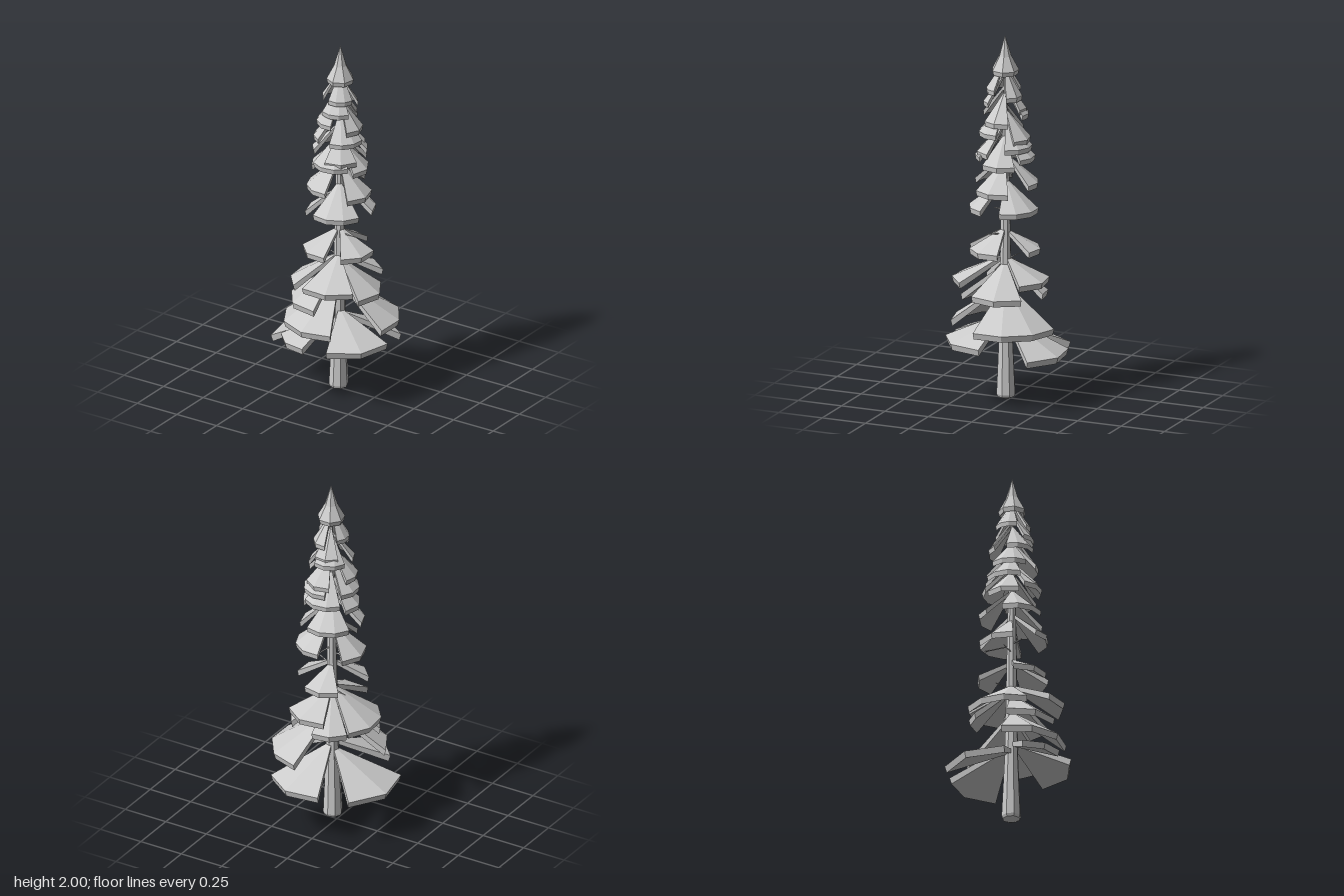
import * as THREE from 'three';

const material = new THREE.MeshStandardMaterial({ color: 0xcccccc, flatShading: true, side: THREE.DoubleSide });
const rad = THREE.MathUtils.degToRad;

// The trunk leans very slightly towards +x
const axisAt = (y) => new THREE.Vector3(0.032 + 0.006 * y, y, 0.012);

// Solid fan-shaped bough: apex on the trunk, faceted rim, thin at the top
function makeBough(yRim, rise, r, azimuth, half) {
  const segments = half > 40 ? 3 : 2;
  const thick = 0.037 - 0.007 * yRim;
  const apex = axisAt(yRim + rise);
  const apexLow = axisAt(yRim + rise - thick * 0.7);
  const top = [], low = [];
  for (let i = 0; i <= segments; i++) {
    const a = rad(azimuth - half + (2 * half * i) / segments);
    const rr = r * (i === 0 || i === segments ? 0.95 : 1);
    const rimPoint = (radius, y) =>
      new THREE.Vector3(apex.x + radius * Math.sin(a), y, apex.z + radius * Math.cos(a));
    top.push(rimPoint(rr, yRim));
    low.push(rimPoint(rr * 0.97, yRim - thick));
  }
  const points = [];
  const quad = (a, b, c, d) => points.push(a, b, c, a, c, d);
  for (let i = 0; i < segments; i++) {
    points.push(apex, top[i], top[i + 1]);
    points.push(apexLow, low[i + 1], low[i]);
    quad(top[i], low[i], low[i + 1], top[i + 1]);
  }
  quad(apex, apexLow, low[0], top[0]);
  quad(apex, top[segments], low[segments], apexLow);
  const geometry = new THREE.BufferGeometry().setFromPoints(points);
  geometry.computeVertexNormals();
  const bough = new THREE.Mesh(geometry, material);
  bough.name = 'bough';
  return bough;
}

// Large irregular lower boughs: rim height, rise to apex, radius, azimuth, half angle
// (azimuth 0 is the front, 90 is the model's left)
const lowerBoughs = [
  [0.28, 0.15, 0.385, -101, 34], [0.35, 0.13, 0.335, 54, 33],
  [0.29, 0.17, 0.35, 166, 32], [0.34, 0.13, 0.325, -28, 22],
  [0.435, 0.21, 0.325, 125, 45], [0.435, 0.21, 0.305, -24, 48],
  [0.67, 0.13, 0.285, 18, 31], [0.63, 0.17, 0.265, -85, 43], [0.55, 0.2, 0.27, -33, 34],
  [0.6, 0.17, 0.235, 98, 38], [0.68, 0.11, 0.245, 166, 34], [0.6, 0.18, 0.225, -153, 26],
  [0.84, 0.11, 0.205, 68, 33], [0.84, 0.11, 0.205, -25, 33], [0.84, 0.1, 0.19, 190, 32],
];

// Regular upper tiers: rim height, number of boughs, first azimuth
const upperTiers = [[1.065, 3, 145], [1.2, 3, -37], [1.345, 4, 7], [1.405, 3, -85],
  [1.48, 3, 50], [1.575, 3, -34], [1.64, 2, 15], [1.71, 3, 33]];

export function createModel() {
  const tree = new THREE.Group();
  tree.name = 'pineTree';

  // Trunk with a blunt pointed foot
  const profile = [[0, 0], [0.047, 0.02], [0.053, 0.035], [0.036, 0.4], [0.027, 1], [0.016, 1.55], [0.002, 1.9]];
  const trunkGeometry = new THREE.LatheGeometry(profile.map(([x, y]) => new THREE.Vector2(x, y)), 8);
  const position = trunkGeometry.attributes.position;
  for (let i = 0; i < position.count; i++) {
    const c = axisAt(position.getY(i));
    position.setX(i, position.getX(i) + c.x);
    position.setZ(i, position.getZ(i) + c.z);
  }
  const trunk = new THREE.Mesh(trunkGeometry, material);
  trunk.name = 'trunk';
  tree.add(trunk);

  // Lower boughs
  const lower = new THREE.Group();
  lower.name = 'lowerBoughs';
  for (const bough of lowerBoughs) lower.add(makeBough(...bough));
  tree.add(lower);

  // Upper boughs: spaced evenly round the trunk, shrinking upwards, every other one lower and narrower
  for (const [y, count, start] of upperTiers) {
    const tier = new THREE.Group();
    tier.name = 'upperTier';
    const radius = 0.095 + 0.1 * ((1.72 - y) / 0.67) ** 0.75;
    for (let i = 0; i < count; i++) {
      const drop = 0.035 * (i % 2);
      tier.add(makeBough(y - drop, 0.155, radius, start + (360 * i) / count, i % 2 ? 36 : 42));
    }
    tree.add(tier);
  }

  // Pointed crown: a flared, faceted cap with a hollow underside
  const crownProfile = [[0, 1.85], [0.068, 1.785], [0.074, 1.81], [0.034, 1.885], [0, 2]];
  const crown = new THREE.Mesh(
    new THREE.LatheGeometry(crownProfile.map(([x, y]) => new THREE.Vector2(x, y)), 7), material);
  crown.name = 'crown';
  crown.position.set(0.043, 0, 0.012);
  tree.add(crown);

  // Bare twigs: height, length, azimuth, rise
  const twigs = [[0.99, 0.13, -80, -0.01], [0.91, 0.14, 70, 0.025], [1.04, 0.1, -30, -0.01],
    [0.77, 0.11, -110, 0.01], [1.03, 0.17, 175, 0.01]];
  for (const [y, length, azimuth, rise] of twigs) {
    const direction = new THREE.Vector3(Math.sin(rad(azimuth)) * length, rise, Math.cos(rad(azimuth)) * length);
    const twig = new THREE.Mesh(new THREE.CylinderGeometry(0.003, 0.005, direction.length(), 4), material);
    twig.name = 'twig';
    twig.position.copy(axisAt(y)).addScaledVector(direction, 0.5);
    twig.quaternion.setFromUnitVectors(new THREE.Vector3(0, 1, 0), direction.clone().normalize());
    tree.add(twig);
  }
  return tree;
}
